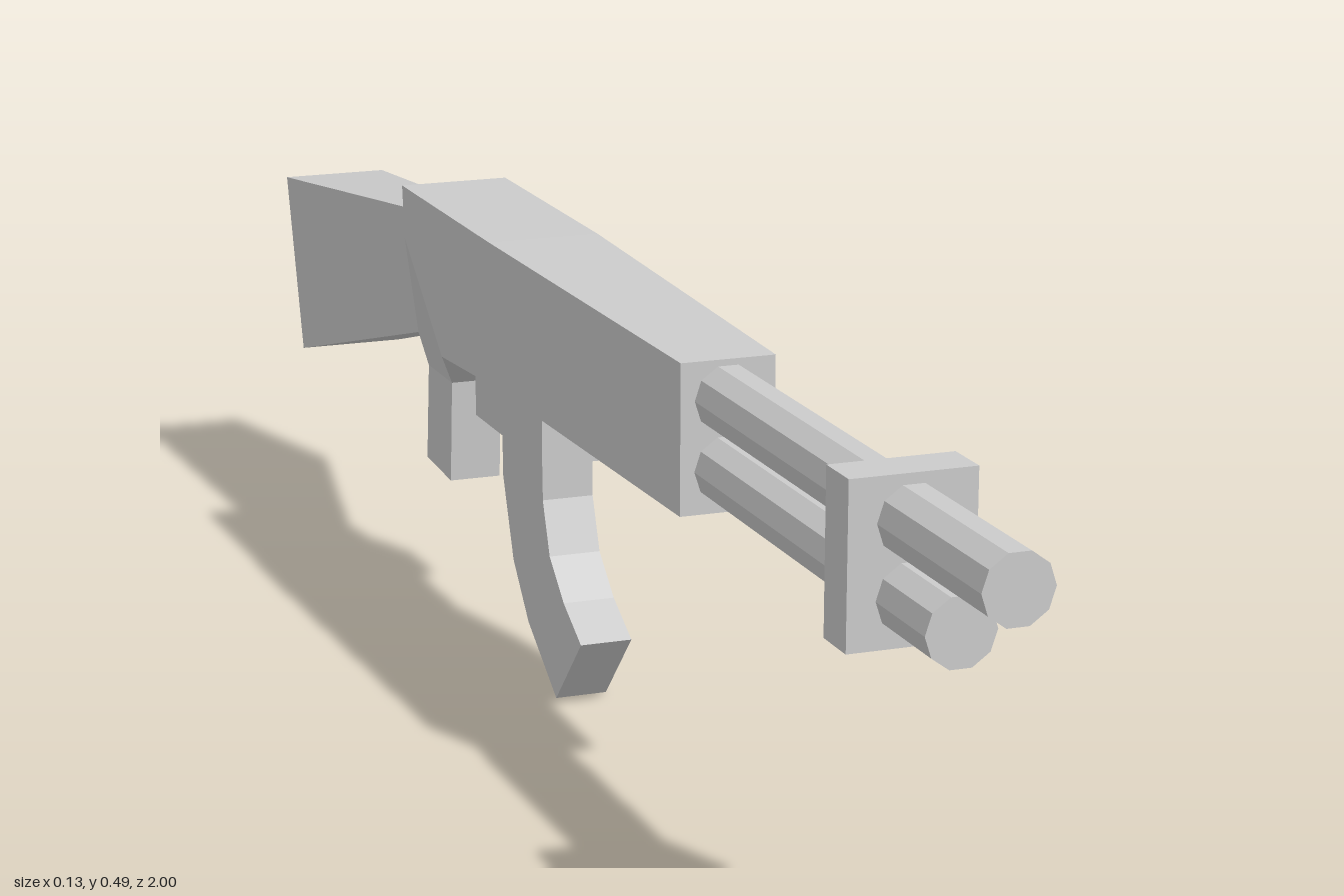
import * as THREE from 'three';

const material = new THREE.MeshStandardMaterial({ color: 0xcccccc, flatShading: true });

// Mirrored solid from a side outline of [z, y, halfWidth], ordered front-top,
// front-bottom, rear. With a hub point the flanks are fanned around it.
function slab(outline, hub) {
  const n = outline.length;
  const pts = hub ? [...outline, hub] : outline;
  const at = (i, side) => [side * pts[i][2], pts[i][1], pts[i][0]];
  const flank = hub
    ? outline.map((_, i) => [n, i, (i + 1) % n])
    : THREE.ShapeUtils.triangulateShape(outline.map(([z, y]) => new THREE.Vector2(-z, y)), []);
  const pos = [];
  for (const [a, b, c] of flank) {
    pos.push(...at(a, 1), ...at(b, 1), ...at(c, 1));
    pos.push(...at(a, -1), ...at(c, -1), ...at(b, -1));
  }
  for (let i = 0; i < n; i++) {
    const j = (i + 1) % n;
    pos.push(...at(i, 1), ...at(i, -1), ...at(j, -1));
    pos.push(...at(i, 1), ...at(j, -1), ...at(j, 1));
  }
  const g = new THREE.BufferGeometry();
  g.setAttribute('position', new THREE.Float32BufferAttribute(pos, 3));
  g.computeVertexNormals();
  return g;
}

const flat = (w, points) => slab(points.map(([z, y]) => [z, y, w]));

// Ten-sided tube along z with flats on top and bottom
function tube(radius, y, z0, z1) {
  return new THREE.CylinderGeometry(radius, radius, z1 - z0, 10, 1, false, Math.PI / 2)
    .rotateX(Math.PI / 2)
    .translate(0, y, (z0 + z1) / 2);
}

function block(w, y0, y1, z0, z1) {
  return new THREE.BoxGeometry(w, y1 - y0, z1 - z0).translate(0, (y0 + y1) / 2, (z0 + z1) / 2);
}

export function createModel() {
  const model = new THREE.Group();
  const add = (name, geometry) => {
    const mesh = new THREE.Mesh(geometry, material);
    mesh.name = name;
    model.add(mesh);
  };

  // Barrel pair and the band holding them
  add('upperBarrel', tube(0.035, 0.446, 0.3, 1));
  add('lowerBarrel', tube(0.035, 0.374, 0.3, 0.89));
  add('barrelBand', block(0.126, 0.328, 0.49, 0.735, 0.785));

  // Body: tapered front half, then the rear half pinching into the neck
  add('bodyFront', slab([
    [0.345, 0.486, 0.05], [0.345, 0.33, 0.05], [-0.2, 0.33, 0.063], [-0.2, 0.49, 0.063],
  ]));
  add('bodyRear', slab([
    [-0.2, 0.49, 0.063], [-0.2, 0.33, 0.063], [-0.37, 0.32, 0.063], [-0.435, 0.27, 0.03],
    [-0.522, 0.27, 0.03], [-0.545, 0.305, 0.035], [-0.545, 0.452, 0.035], [-0.512, 0.49, 0.063],
  ], [-0.505, 0.43, 0.063]));

  // Shoulder stock, flaring to the rear
  add('stock', slab([
    [-0.545, 0.452, 0.035], [-0.545, 0.305, 0.035], [-0.94, 0.193, 0.063], [-1, 0.402, 0.063],
  ]));

  // Short grip under the neck
  add('grip', flat(0.03, [[-0.435, 0.27], [-0.443, 0.15], [-0.532, 0.155], [-0.522, 0.27]]));

  // Magazine housing and curved magazine
  add('magazineHousing', block(0.092, 0.268, 0.335, -0.3, -0.075));
  add('magazine', flat(0.029, [
    [-0.122, 0.28], [-0.122, 0.215], [-0.1, 0.157], [-0.055, 0.117], [0, 0.086],
    [-0.08, 0], [-0.172, 0.06], [-0.222, 0.118], [-0.257, 0.21], [-0.257, 0.28],
  ]));

  return model;
}
